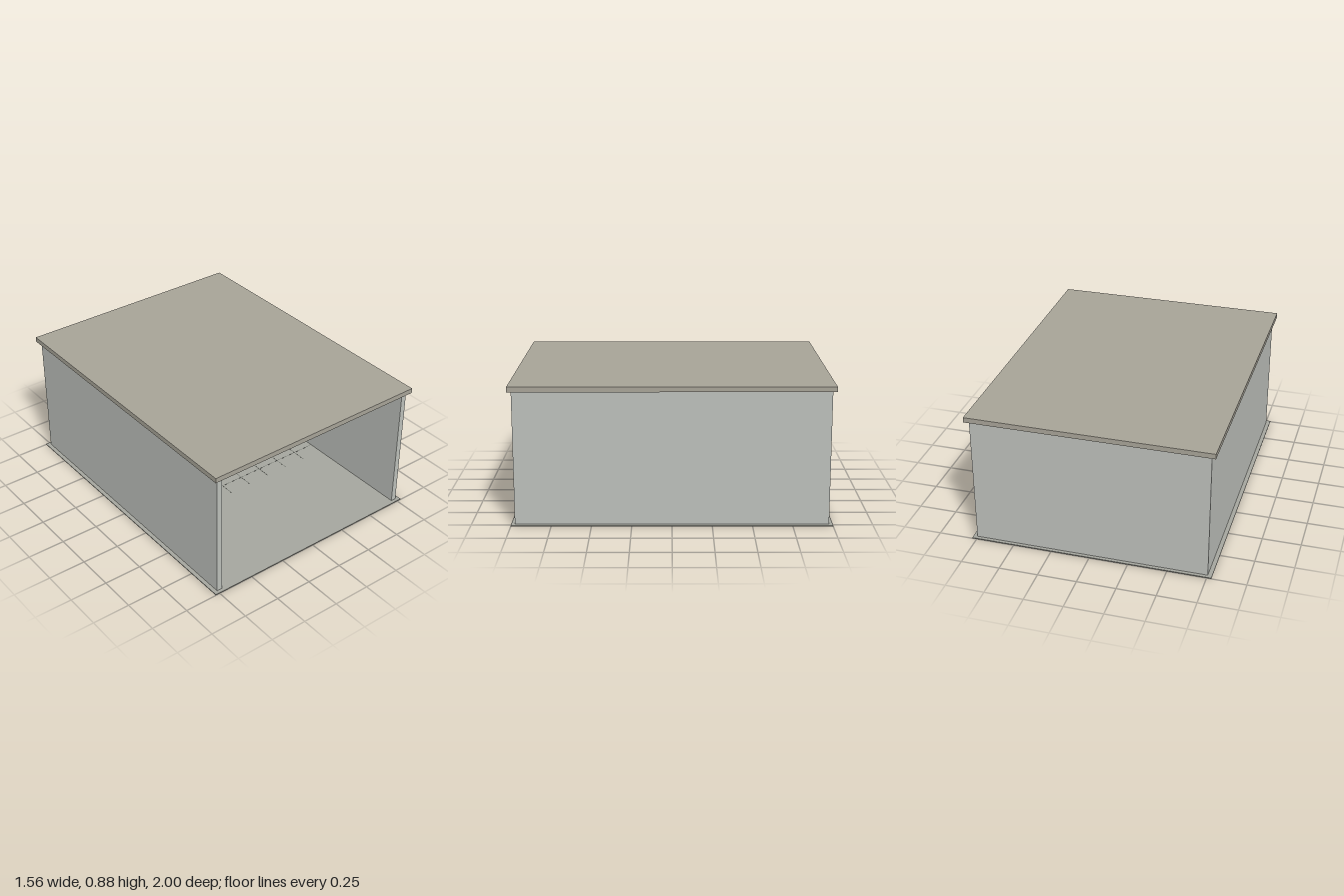
import * as THREE from 'three';

const mat = (color) => new THREE.MeshStandardMaterial({ color });
const M = {
  wall: mat(0xbcbfba), slab: mat(0xa7a397), floor: mat(0xa5a69e), line: mat(0x5c5f5a), wainscot: mat(0x8f968c),
  skirting: mat(0x6b6255), metal: mat(0x5b5e64), steel: mat(0x8f979a), linen: mat(0xd2d2c8), cabinet: mat(0xaeaaa3),
  curtain: mat(0x8d9a98), dark: mat(0x25272a), wood: mat(0x4f3524), blind: mat(0x2f333a), blue: mat(0x2850a0),
  navy: mat(0x1c2f66), bag: mat(0xb9c6cb), light: mat(0xdcdcc0), clock: mat(0xd3d0cb), green: mat(0x2f6b3c),
};

function add(parent, name, geometry, material, x = 0, y = 0, z = 0) {
  const mesh = new THREE.Mesh(geometry, material);
  mesh.name = name;
  mesh.position.set(x, y, z);
  parent.add(mesh);
  return mesh;
}

// Box given by its lower and upper limits on each axis
function box(parent, name, material, x0, x1, y0, y1, z0, z1) {
  return add(parent, name, new THREE.BoxGeometry(x1 - x0, y1 - y0, z1 - z0), material,
    (x0 + x1) / 2, (y0 + y1) / 2, (z0 + z1) / 2);
}

function rod(parent, name, material, r, h, x, y, z, sides = 12) {
  return add(parent, name, new THREE.CylinderGeometry(r, r, h, sides), material, x, y + h / 2, z);
}

function group(parent, name) {
  const g = new THREE.Group();
  g.name = name;
  parent.add(g);
  return g;
}

const FLOOR = 0.006, BACK = -0.943, SIDE = 0.717, FRONT = 0.26;

function buildShell(root) {
  const g = group(root, 'roomShell');
  box(g, 'floor', M.floor, -0.78, 0.78, 0, FLOOR, -1, 1);
  box(g, 'ceiling', M.slab, -0.78, 0.78, 0.852, 0.885, -1, 1);
  box(g, 'backWall', M.wall, -0.753, 0.753, FLOOR, 0.852, -0.977, BACK);
  box(g, 'rightWall', M.wall, -0.753, -SIDE, FLOOR, 0.852, BACK, 0.977);
  box(g, 'leftWall', M.wall, SIDE, 0.753, FLOOR, 0.852, BACK, 0.977);
  box(g, 'wainscot', M.wainscot, -SIDE, SIDE, FLOOR, 0.385, BACK, BACK + 0.004);
  box(g, 'backSkirting', M.skirting, -SIDE, SIDE, FLOOR, 0.038, BACK, BACK + 0.008);
  box(g, 'sideSkirting', M.skirting, -SIDE, -SIDE + 0.006, FLOOR, 0.038, BACK, FRONT);
  // Tile joints on the rear part of the floor
  for (let x = -0.56; x < 0.7; x += 0.16)
    box(g, 'tileJoint', M.line, x - 0.0015, x + 0.0015, FLOOR, FLOOR + 0.0006, BACK, FRONT);
  for (let z = -0.8; z < FRONT; z += 0.16)
    box(g, 'tileJoint', M.line, -SIDE, SIDE, FLOOR, FLOOR + 0.0006, z - 0.0015, z + 0.0015);
}

function buildWallItems(root) {
  // Window with blind, frame and sill
  const w = group(root, 'window');
  box(w, 'glass', M.dark, 0.285, 0.65, 0.355, 0.663, BACK, BACK + 0.004);
  box(w, 'frameTop', M.wood, 0.27, 0.663, 0.658, 0.675, BACK, BACK + 0.02);
  box(w, 'frameBottom', M.wood, 0.27, 0.663, 0.343, 0.36, BACK, BACK + 0.02);
  box(w, 'frameSide', M.wood, 0.27, 0.288, 0.36, 0.658, BACK, BACK + 0.02);
  box(w, 'frameSide', M.wood, 0.646, 0.663, 0.36, 0.658, BACK, BACK + 0.02);
  box(w, 'sill', M.wood, 0.255, 0.678, 0.334, 0.343, BACK, BACK + 0.04);
  for (let i = 0; i < 10; i++) {
    const slat = box(w, 'blindSlat', M.blind, 0.289, 0.645, 0.362, 0.39, BACK + 0.007, BACK + 0.01);
    slat.position.y += i * 0.0295;
    slat.rotation.x = -0.2;
  }

  // Clock
  const c = group(root, 'clock');
  c.position.set(0.465, 0.748, BACK + 0.007);
  add(c, 'clockFace', new THREE.CylinderGeometry(0.049, 0.049, 0.014, 32), M.clock).rotation.x = Math.PI / 2;
  box(c, 'clockHand', M.dark, -0.0015, 0.0015, -0.02, 0.012, 0.007, 0.009);

  // Service rail above the bed
  const r = group(root, 'serviceRail');
  box(r, 'rail', M.metal, -0.53, 0.155, 0.444, 0.478, BACK, BACK + 0.03);
  for (const x of [-0.378, -0.127])
    box(r, 'socket', M.green, x - 0.011, x + 0.011, 0.448, 0.474, BACK + 0.03, BACK + 0.034);

  // Ceiling lamp
  box(root, 'ceilingLamp', M.light, -0.375, 0, 0.812, 0.83, -0.5, -0.42);
}

function buildCurtain(root) {
  const g = group(root, 'curtain');
  box(g, 'curtainRail', M.dark, -0.631, -0.623, 0.769, 0.777, -0.85, 0.21);
  for (let i = 0; i < 26; i++) {
    const x = -0.627 + (i % 2 ? 0.004 : -0.004), z = 0.17 - i * 0.04;
    box(g, 'curtainFold', M.curtain, x - 0.006, x + 0.006, 0.1, 0.757, z - 0.018, z + 0.02);
  }
}

function buildBed(root) {
  const g = group(root, 'bed');
  box(g, 'bedFrame', M.metal, -0.348, -0.033, 0.165, 0.188, -0.89, -0.165);
  box(g, 'headboard', M.metal, -0.346, -0.035, 0.165, 0.43, -0.905, -0.885);
  box(g, 'mattress', M.linen, -0.335, -0.045, 0.188, 0.233, -0.88, -0.175);
  box(g, 'pillow', M.linen, -0.28, -0.1, 0.233, 0.275, -0.86, -0.73);
  for (const x of [-0.332, -0.049])
    for (const z of [-0.86, -0.18])
      box(g, 'bedLeg', M.metal, x - 0.008, x + 0.008, FLOOR, 0.165, z - 0.008, z + 0.008);
  // Short guard rails on both sides
  for (const x of [-0.352, -0.029]) {
    box(g, 'guardRail', M.dark, x - 0.004, x + 0.004, 0.283, 0.292, -0.78, -0.48);
    for (const z of [-0.75, -0.51]) box(g, 'guardPost', M.metal, x - 0.002, x + 0.002, 0.17, 0.283, z - 0.004, z + 0.004);
  }
  // Table standing over the bed
  const t = group(root, 'overbedTable');
  box(t, 'tableTop', M.steel, -0.335, -0.012, 0.237, 0.251, -0.45, -0.32);
  box(t, 'tableColumn', M.metal, -0.34, -0.322, 0.012, 0.25, -0.394, -0.376);
  box(t, 'tableFoot', M.metal, -0.341, -0.322, FLOOR, 0.015, -0.45, -0.32);
}

function buildCabinet(root) {
  const g = group(root, 'bedsideCabinet');
  box(g, 'cabinetBody', M.cabinet, -0.58, -0.424, FLOOR, 0.257, -0.9, -0.76);
  rod(g, 'cup', M.bag, 0.011, 0.032, -0.531, 0.257, -0.83);
  box(g, 'remote', M.dark, -0.485, -0.457, 0.257, 0.262, -0.85, -0.8);
}

function buildDripStand(root) {
  const g = group(root, 'dripStand');
  g.position.set(0.061, 0, -0.72);
  rod(g, 'pole', M.dark, 0.004, 0.585, 0, 0.01, 0);
  for (let i = 0; i < 5; i++) {
    const pivot = group(g, 'baseArm');
    pivot.rotation.y = (i * 2 * Math.PI) / 5;
    box(pivot, 'arm', M.dark, 0, 0.064, FLOOR, 0.014, -0.005, 0.005);
  }
  box(g, 'hook', M.dark, -0.022, 0.022, 0.588, 0.593, -0.003, 0.012);
  box(g, 'fluidBag', M.bag, -0.024, 0.024, 0.516, 0.588, 0.004, 0.018);
}

function buildChair(root) {
  const g = group(root, 'chair');
  g.position.set(0.28, 0, -0.55);
  box(g, 'seat', M.blue, -0.087, 0.08, 0.13, 0.142, -0.08, 0.08);
  for (const x of [-0.06, 0.058])
    for (const z of [-0.066, 0.066])
      box(g, 'chairLeg', M.blue, x - 0.006, x + 0.006, FLOOR, 0.13, z - 0.006, z + 0.006);
  const back = box(g, 'backrest', M.navy, -0.006, 0.006, 0.135, 0.295, -0.08, 0.08);
  back.position.x = 0.061;
  back.rotation.y = -0.27;
}

export function createModel() {
  const root = new THREE.Group();
  root.name = 'wardRoom';
  for (const build of [buildShell, buildWallItems, buildCurtain, buildBed, buildCabinet, buildDripStand, buildChair])
    build(root);
  return root;
}
